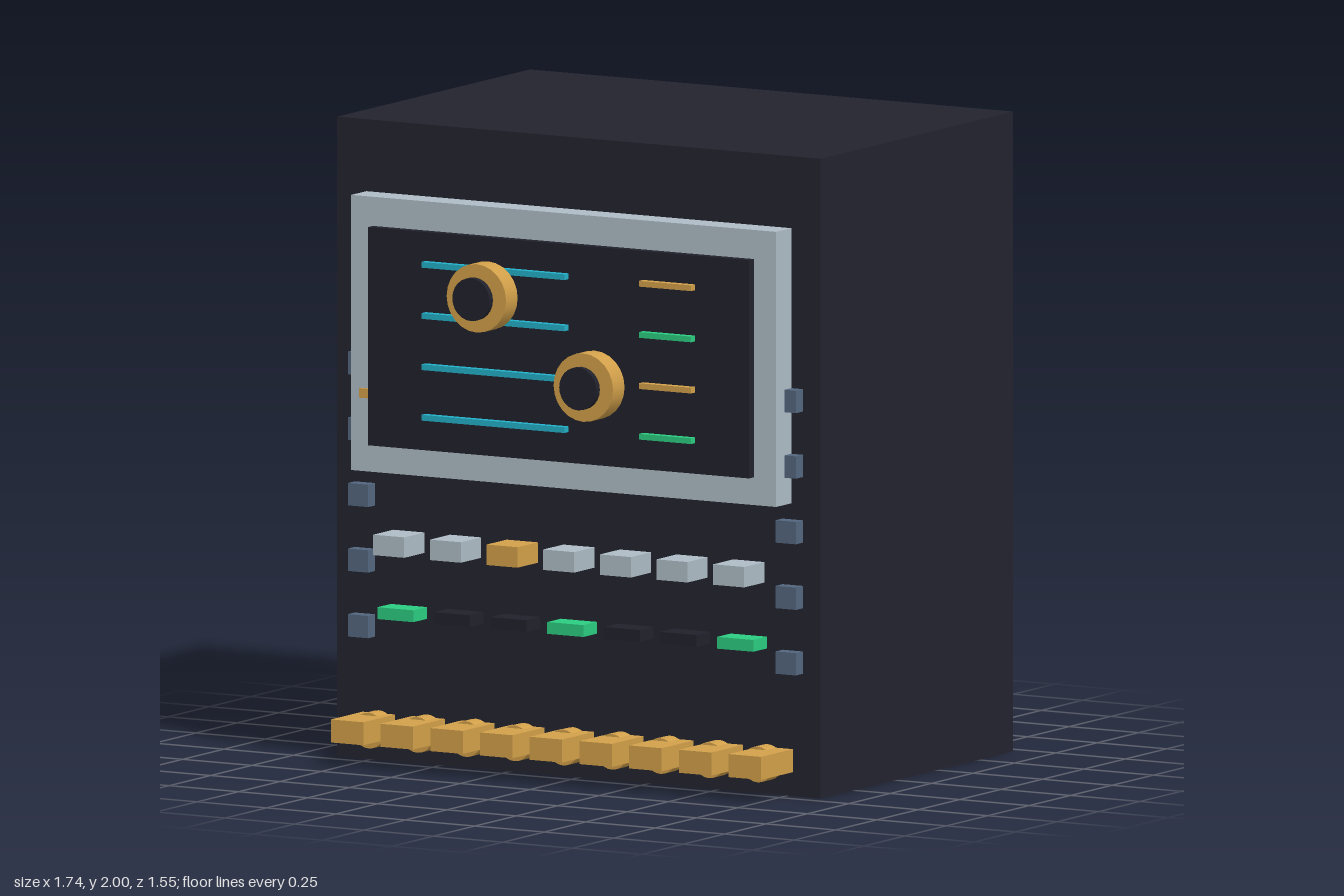
import * as THREE from 'three';

const mat = (name, color) => {
  const m = new THREE.MeshStandardMaterial({ color });
  m.name = name;
  return m;
};

export function createModel() {
  const charcoal = mat('charcoal', 0x23232e);
  const black = mat('screen black', 0x20212b);
  const silver = mat('silver', 0xaebcc6);
  const amber = mat('amber', 0xd2a04a);
  const cyan = mat('cyan', 0x22b0c8);
  const green = mat('green', 0x2bcc80);
  const slate = mat('slate', 0x53667f);
  const pine = mat('dark green', 0x0f3a2e);

  const model = new THREE.Group();
  model.name = 'controlCabinet';

  const add = (name, geometry, material, x, y, z) => {
    const mesh = new THREE.Mesh(geometry, material);
    mesh.name = name;
    mesh.position.set(x, y, z);
    model.add(mesh);
    return mesh;
  };
  // Box given by centre x, y, its size, and its back and front z
  const box = (name, material, x, y, w, h, z0, z1) =>
    add(name, new THREE.BoxGeometry(w, h, z1 - z0), material, x, y, (z0 + z1) / 2);
  // Disc whose axis points forward
  const disc = (name, material, x, y, r, z0, z1) =>
    add(name, new THREE.CylinderGeometry(r, r, z1 - z0, 24).rotateX(Math.PI / 2),
      material, x, y, (z0 + z1) / 2);

  const face = 0.453; // front face of the cabinet

  // Cabinet, screen frame and screen
  box('cabinet', charcoal, 0, 1, 1.74, 2, -0.71, face);
  box('screenFrame', silver, 0, 1.345, 1.53, 0.86, face, 0.545);
  box('screen', black, 0, 1.343, 1.372, 0.682, 0.54, 0.575);
  box('frameTab', amber, -0.705, 1.16, 0.05, 0.03, 0.54, 0.555);

  // Readout lines on the screen
  [1.585, 1.425, 1.265, 1.107].forEach((y, i) => {
    box('traceLine', cyan, -0.222, y, 0.515, 0.018, 0.574, 0.6);
    box('statusLine', i % 2 ? green : amber, 0.398, y, 0.187, 0.018, 0.574, 0.6);
  });

  // Dials standing clear of the screen, each with a dark cap
  for (const [x, y] of [[-0.195, 1.52], [0.19, 1.27]]) {
    disc('dial', amber, x, y, 0.107, 0.675, 0.745);
    disc('dialCap', black, x, y, 0.067, 0.757, 0.778);
  }

  // Square lugs down both sides
  for (const side of [-1, 1]) {
    for (let i = 0; i < 5; i++) {
      box('sideLug', slate, side * 0.77, 0.42 + i * 0.205, 0.073, 0.07, face, 0.495);
    }
  }

  // Row of buttons with a row of lamps below
  for (let i = 0; i < 7; i++) {
    const x = (i - 3) * 0.204;
    box('button', i === 2 ? amber : silver, x, 0.692, 0.112, 0.064, face, 0.575);
    box('lamp', i % 3 === 0 ? green : black, x, 0.473, 0.13, 0.037, face, 0.535);
  }

  // Bottom row of keys over round sockets
  for (let i = 0; i < 9; i++) {
    box('key', amber, -0.72 + i * 0.179, 0.111, 0.117, 0.072, face, 0.645);
    disc('socket', amber, -0.72 + i * 0.175, 0.1, 0.056, face, 0.515);
  }

  // Rear modules
  for (const x of [-0.666, 0.219]) {
    for (const y of [0.54, 0.917]) {
      box('rearModule', pine, x, y, 0.406, 0.2, -0.775, -0.7);
    }
  }

  return model;
}
